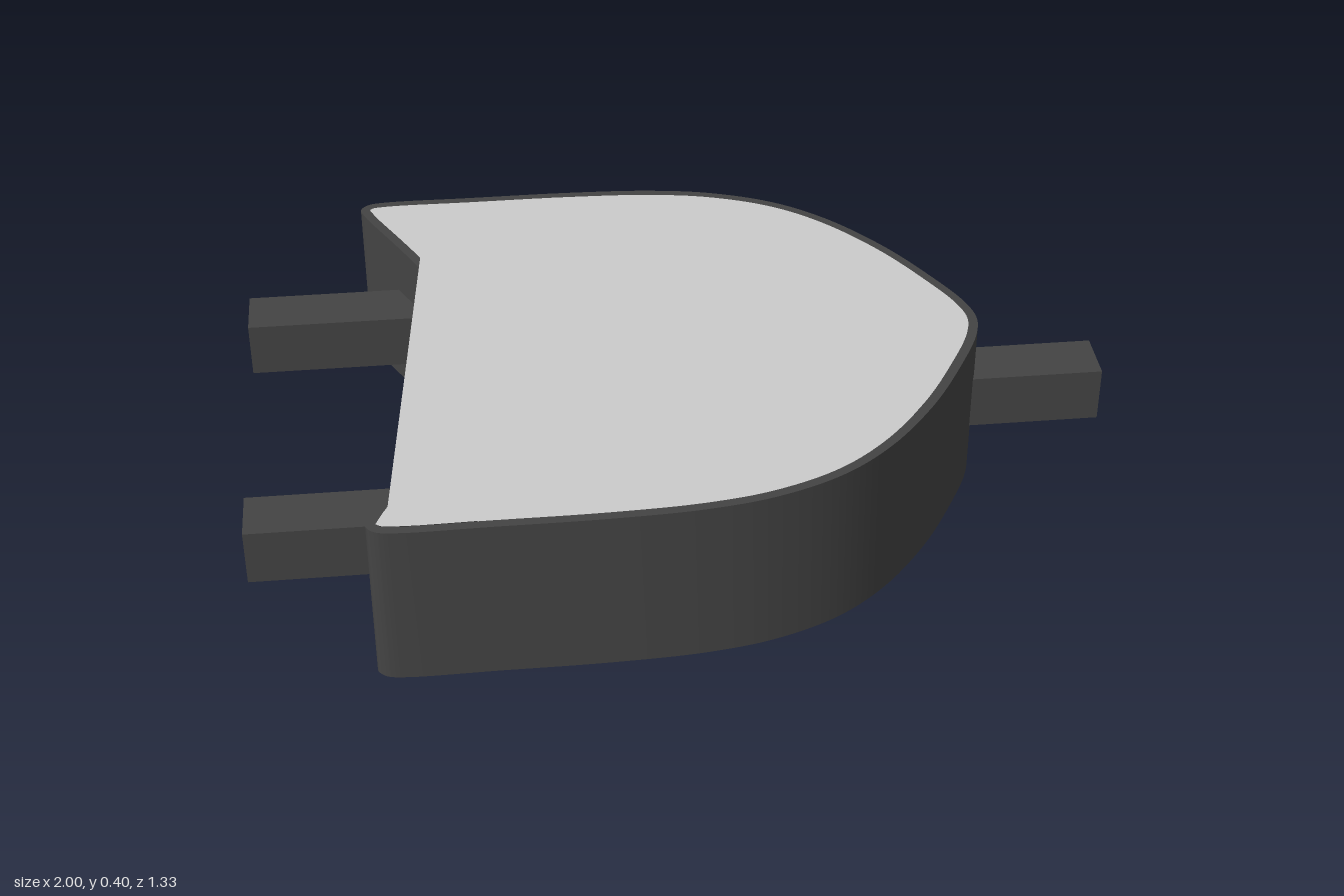
import * as THREE from 'three';
import { toCreasedNormals } from 'three/addons/utils/BufferGeometryUtils.js';

const HEIGHT = 0.4, RIM = 0.022, GAP = 0.001;

export function createModel() {
  const group = new THREE.Group();
  const dark = new THREE.MeshStandardMaterial({ color: 0x444444 });
  const light = new THREE.MeshStandardMaterial({ color: 0xcccccc, side: THREE.DoubleSide });

  const add = (name, geometry, material, x = 0, y = 0, z = 0) => {
    const mesh = new THREE.Mesh(geometry, material);
    mesh.name = name;
    mesh.position.set(x, y, z);
    group.add(mesh);
  };

  // Half of the plan outline (x, z), from the nose to the middle of the hollow back
  const half = [
    [0.705, 0], [0.69, 0.07], [0.63, 0.19], [0.54, 0.335], [0.42, 0.475], [0.3, 0.565],
    [0.15, 0.625], [0, 0.652], [-0.2, 0.663], [-0.45, 0.664], [-0.66, 0.664],
    [-0.7, 0.656], [-0.718, 0.635], [-0.71, 0.605], [-0.635, 0.46], [-0.59, 0.37],
    [-0.52, 0.2], [-0.485, 0],
  ];
  const mirrored = half.slice(1, -1).reverse().map(([x, z]) => [x, -z]);
  const curve = new THREE.CatmullRomCurve3(
    [...half, ...mirrored].map(([x, z]) => new THREE.Vector3(x, z, 0)), true, 'centripetal');

  // Outer outline, and the same outline moved inwards by the rim width
  const outer = [], inner = [];
  const steps = 204;
  for (let i = 0; i < steps; i++) {
    const p = curve.getPoint(i / steps), t = curve.getTangent(i / steps);
    outer.push(new THREE.Vector2(p.x, p.y));
    inner.push(new THREE.Vector2(p.x - t.y * RIM, p.y + t.x * RIM));
  }

  // Upright wall, hollow inside
  const ring = new THREE.Shape(outer);
  ring.holes.push(new THREE.Path(inner));
  const wall = new THREE.ExtrudeGeometry(ring, { depth: HEIGHT - 2 * GAP, bevelEnabled: false });
  wall.rotateX(Math.PI / 2);
  add('wall', toCreasedNormals(wall, 0.6), dark, 0, HEIGHT - GAP, 0);

  // Thin covers, cut straight across most of the hollow back
  const coverOutline = inner.filter(p => !(p.x < -0.3 && p.y > -0.395 && p.y < 0.57));
  const makeCover = turn => {
    const pts = coverOutline.map(p => new THREE.Vector2(p.x, p.y * turn));
    return new THREE.ShapeGeometry(new THREE.Shape(pts)).rotateX(turn * Math.PI / 2);
  };
  add('topCover', makeCover(-1), light, 0, HEIGHT, 0);
  add('bottomCover', makeCover(1), light, 0, 0, 0);

  // Square bars: two at the back, one at the nose
  const bar = (name, x0, x1, z) =>
    add(name, new THREE.BoxGeometry(x1 - x0, 0.133, 0.13), dark, (x0 + x1) / 2, 0.203, z);
  bar('backBarFar', -1, -0.585, -0.397);
  bar('backBarNear', -0.99, -0.585, 0.405);
  bar('noseBar', 0.69, 1, 0);

  return group;
}
